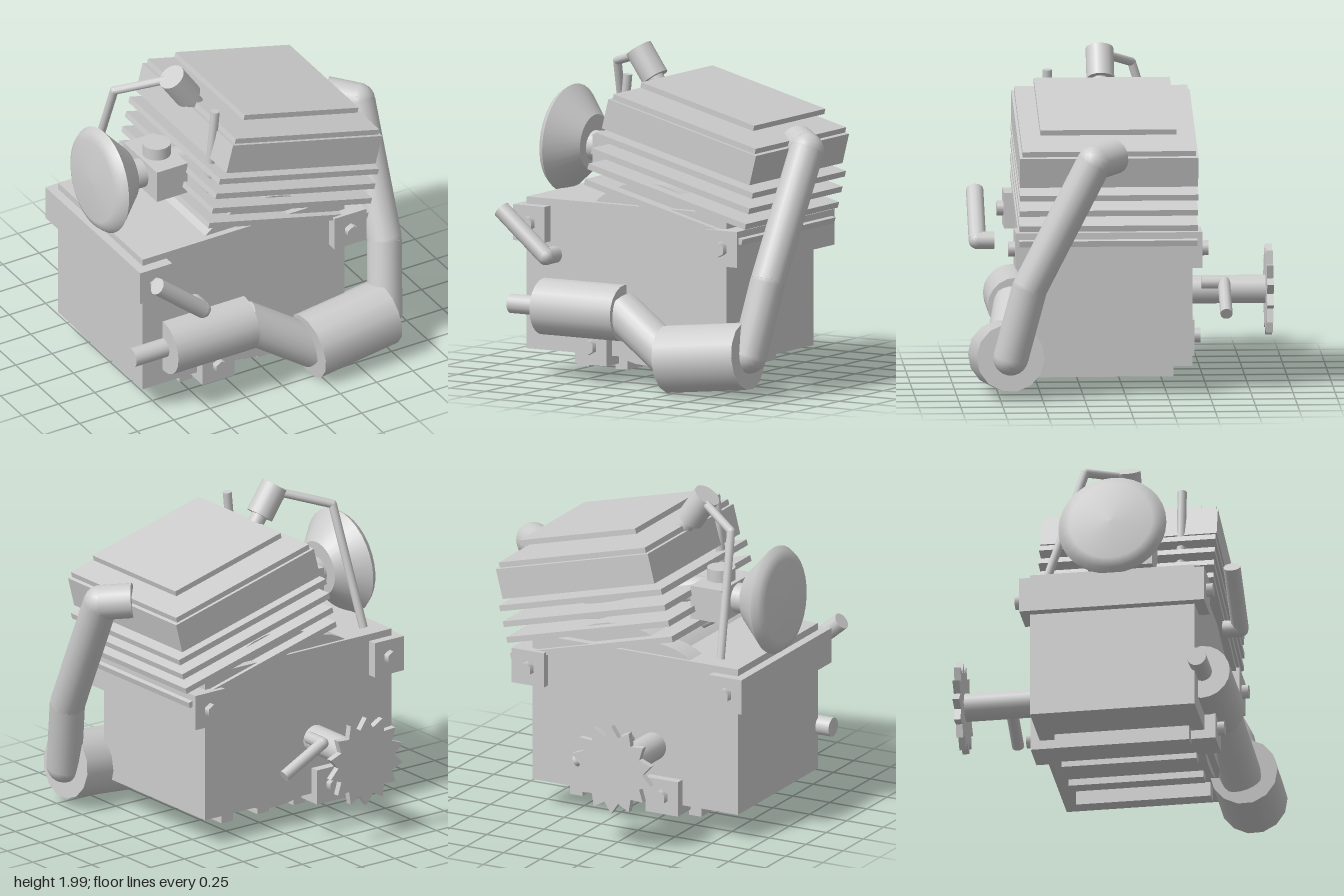
import * as THREE from 'three';

const metal = new THREE.MeshStandardMaterial({ color: 0xcccccc });
metal.name = 'bare metal';
const V = (x, y, z) => new THREE.Vector3(x, y, z);

export function createModel() {
  const model = new THREE.Group();
  model.name = 'engine';

  const add = (name, geometry, parent = model) => {
    const mesh = new THREE.Mesh(geometry, metal);
    mesh.name = name;
    parent.add(mesh);
    return mesh;
  };
  const box = (name, w, h, d, x, y, z, parent) => {
    const mesh = add(name, new THREE.BoxGeometry(w, h, d), parent);
    mesh.position.set(x, y, z);
    return mesh;
  };
  // Cylinder running from point a to point b
  const rod = (name, a, b, r, sides = 20, rEnd = r) => {
    const mesh = add(name, new THREE.CylinderGeometry(rEnd, r, a.distanceTo(b), sides));
    mesh.position.copy(a).lerp(b, 0.5);
    mesh.quaternion.setFromUnitVectors(V(0, 1, 0), b.clone().sub(a).normalize());
    return mesh;
  };
  // Straight pipes joined by round elbows
  const pipe = (name, points, r, sides = 16) => {
    for (let i = 0; i < points.length - 1; i++) {
      rod(name, points[i], points[i + 1], r, sides);
      if (i > 0) add(name + 'Elbow', new THREE.SphereGeometry(r, sides, 10)).position.copy(points[i]);
    }
  };

  // Crankcase with its round inner housings showing above and below
  box('crankcase', 1.39, 0.91, 0.99, -0.175, 0.625, 0.095);
  rod('crankHousing', V(-0.05, 0.67, -0.35), V(-0.05, 0.67, 0.55), 0.55, 40);
  rod('gearHousing', V(-0.3, 0.7, -0.38), V(-0.3, 0.7, -0.24), 0.45, 40);
  for (let i = 0; i < 4; i++) {
    box('bottomRib', 0.085, 0.1, 0.81, -0.527 + i * 0.268, 0.13, 0.105);
  }

  // Mounting bars with a hex bolt at each end
  for (const [x, y, boltY] of [[-0.815, 0.93, 0.93], [0.523, 0.883, 0.88], [-0.385, 0.222, 0.222]]) {
    box('mountingBar', 0.22, 0.215, 1.11, x, y, 0.1);
    for (const s of [-1, 1]) {
      rod('mountingBolt', V(x, boltY, 0.1 + s * 0.54), V(x, boltY, 0.1 + s * 0.595), 0.045, 6);
    }
  }

  // Leaning cylinder, fins and head
  const top = new THREE.Group();
  top.name = 'cylinderAssembly';
  top.position.set(0.217, 1.495, 0.105);
  top.rotation.z = -0.25;
  model.add(top);
  const barrel = add('barrel', new THREE.CylinderGeometry(0.31, 0.31, 0.65, 32), top);
  barrel.position.y = -0.35;
  box('head', 1.06, 0.185, 1.06, 0, 0, 0, top);
  box('headGasket', 1.02, 0.033, 1.03, 0, 0.112, 0, top);
  box('headCover', 0.81, 0.033, 0.81, 0, 0.208, 0, top);
  // Spacer joining the two cover plates
  for (let i = 0; i < 4; i++) box('coolingFin', 1.13, 0.036, 1.06, 0, -0.148 - i * 0.098, 0, top);

  // Spark plug, cap and lead
  rod('sparkPlugCap', V(-0.272, 1.78, 0.105), V(-0.386, 1.945, 0.105), 0.083);
  rod('sparkPlug', V(-0.16, 1.62, 0.105), V(-0.275, 1.785, 0.105), 0.05, 12);
  pipe('sparkLead', [V(-0.39, 1.91, 0.07), V(-0.66, 1.825, -0.1), V(-0.715, 1.1, -0.33)], 0.026, 10);
  rod('pushRod', V(-0.335, 1.18, 0.42), V(-0.27, 1.84, 0.42), 0.028, 10);

  // Carburettor with intake, fuel pipe and air filter
  box('carburettor', 0.21, 0.205, 0.39, -0.49, 1.337, 0.095);
  rod('carburettorCap', V(-0.485, 1.43, 0.1), V(-0.485, 1.515, 0.1), 0.085);
  rod('intake', V(-0.72, 1.34, 0.1), V(0, 1.34, 0.1), 0.09);
  pipe('fuelPipe', [V(-0.47, 1.24, 0.1), V(-0.46, 1.2, 0.1), V(-0.36, 1.14, 0.1)], 0.03, 10);
  const filter = new THREE.Group();
  filter.name = 'airFilter';
  filter.position.set(-0.7, 1.36, 0.095);
  filter.rotation.z = Math.PI / 2 - 0.07;
  model.add(filter);
  const profile = [[0, 0], [0.165, 0], [0.165, 0], [0.325, 0.165], [0.325, 0.165], [0.3, 0.2], [0.25, 0.225], [0, 0.235]];
  add('airFilterBody', new THREE.LatheGeometry(profile.map(([r, y]) => new THREE.Vector2(r, y)), 32), filter);

  // Output shaft and toothed sprocket
  rod('outputShaft', V(-0.3, 0.51, -0.35), V(-0.3, 0.51, -0.88), 0.085);
  const star = new THREE.Shape();
  const teeth = 14;
  for (let i = 0; i < teeth * 2; i++) {
    const a = (i / teeth) * Math.PI;
    const r = i % 2 ? 0.21 : 0.273;
    star[i ? 'lineTo' : 'moveTo'](Math.sin(a) * r, Math.cos(a) * r);
  }
  const sprocket = add('sprocket', new THREE.ExtrudeGeometry(star, { depth: 0.04, bevelEnabled: false }));
  sprocket.position.set(-0.295, 0.51, -0.915);

  // Shift and kick levers
  pipe('shiftLever', [V(-0.185, 0.567, -0.49), V(-0.185, 0.567, -0.625), V(0.1, 0.42, -0.625)], 0.037, 10);
  pipe('kickLever', [V(-0.595, 0.77, 0.72), V(-0.595, 0.77, 0.82), V(-0.905, 1.03, 0.82)], 0.052, 12);

  // Exhaust from the head down through both silencers
  pipe('exhaustHeader', [V(0.7, 1.46, 0.07), V(0.84, 1.44, 0.2), V(0.8, 0.69, 0.58), V(0.74, 0.26, 0.69)], 0.105, 20);
  add('exhaustHeaderEnd', new THREE.SphereGeometry(0.105, 20, 12)).position.set(0.74, 0.26, 0.69);
  rod('frontSilencer', V(0.19, 0.202, 0.715), V(0.73, 0.258, 0.69), 0.203, 14);
  rod('exhaustLink', V(-0.2, 0.455, 0.62), V(0.24, 0.17, 0.7), 0.125);
  rod('rearSilencer', V(-0.735, 0.436, 0.61), V(-0.175, 0.436, 0.61), 0.17);
  rod('tailPipe', V(-0.96, 0.435, 0.615), V(-0.72, 0.435, 0.615), 0.058);

  return model;
}
